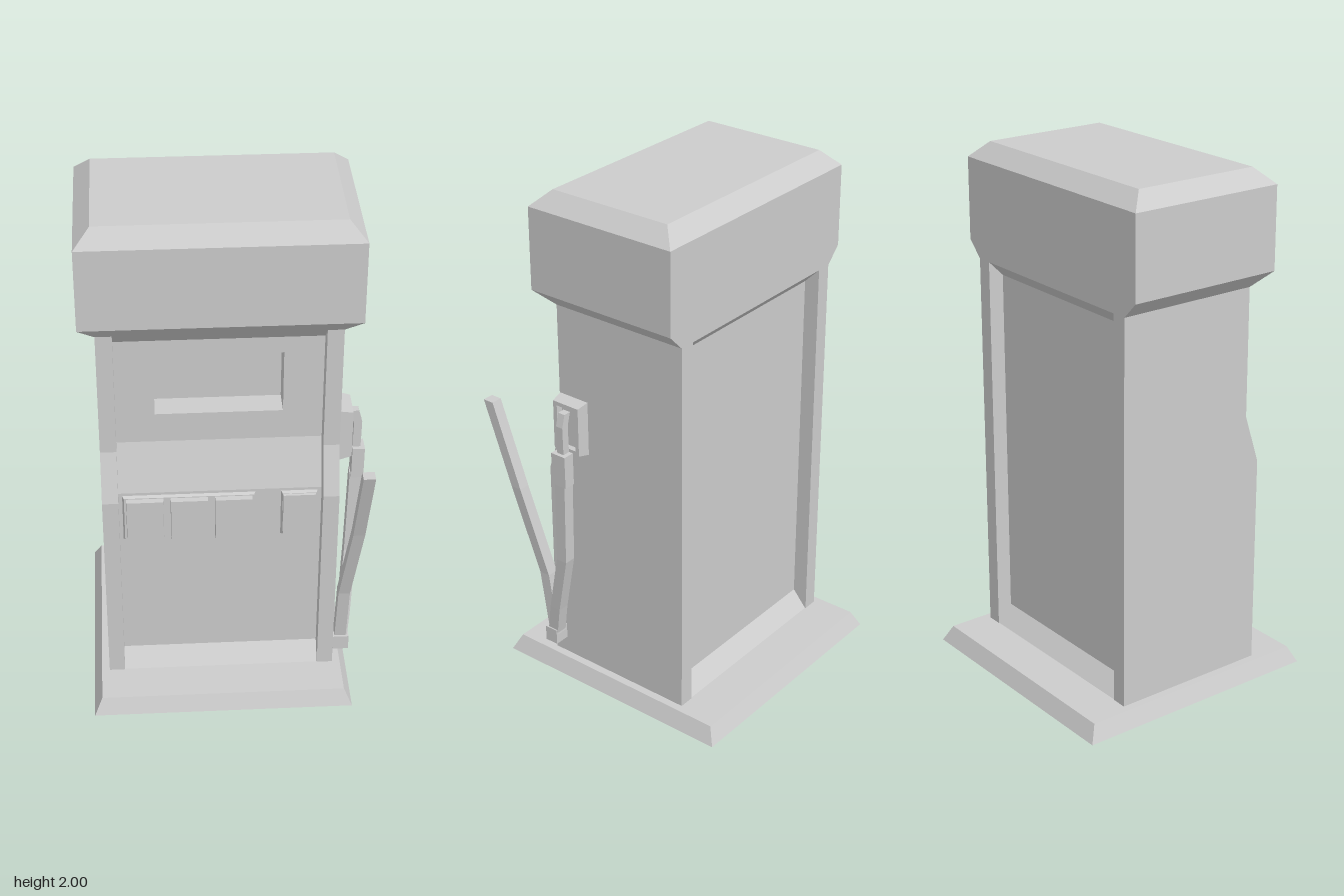
import * as THREE from 'three';

const material = new THREE.MeshStandardMaterial({ color: 0xcccccc, flatShading: true });

// Stack of rectangular sections [y, x0, x1, z0, z1], bottom to top, closed at both ends
function loft(rings) {
  const pos = [], idx = [];
  for (const [y, x0, x1, z0, z1] of rings) pos.push(x0, y, z0, x0, y, z1, x1, y, z1, x1, y, z0);
  for (let r = 0; r < rings.length - 1; r++) {
    for (let i = 0; i < 4; i++) {
      const a = r * 4 + i, b = r * 4 + (i + 1) % 4;
      idx.push(a, b, b + 4, a, b + 4, a + 4);
    }
  }
  const t = (rings.length - 1) * 4;
  idx.push(0, 2, 1, 0, 3, 2, t, t + 1, t + 2, t, t + 2, t + 3);
  const g = new THREE.BufferGeometry();
  g.setAttribute('position', new THREE.Float32BufferAttribute(pos, 3));
  g.setIndex(idx);
  const flat = g.toNonIndexed();
  flat.computeVertexNormals();
  return flat;
}

// Square tube through centre points [x, y, z], with level sections
const tube = (points, w, d = w) =>
  loft(points.map(([x, y, z]) => [y, x - w / 2, x + w / 2, z - d / 2, z + d / 2]));

// Side profile of [z, y] points extruded from x0 to x1
function profile(points, x0, x1) {
  const shape = new THREE.Shape(points.map(([z, y]) => new THREE.Vector2(z, y)));
  const g = new THREE.ExtrudeGeometry(shape, { depth: x1 - x0, bevelEnabled: false });
  return g.rotateY(-Math.PI / 2).translate(x1, 0, 0);
}

function rectPoints(x0, x1, y0, y1) {
  return [[x0, y0], [x1, y0], [x1, y1], [x0, y1]].map(([x, y]) => new THREE.Vector2(x, y));
}

// Rectangular plate with a rectangular opening, extruded along z
function frame(outer, inner, depth) {
  const shape = new THREE.Shape(rectPoints(...outer));
  shape.holes.push(new THREE.Path(rectPoints(...inner)));
  return new THREE.ExtrudeGeometry(shape, { depth, bevelEnabled: false });
}

// Raised block with tapered sides on a front panel
function raised(x0, x1, y0, y1, z0, z1, inset) {
  return loft([
    [z0, x0, x1, -y1, -y0],
    [z1, x0 + inset, x1 - inset, -y1 + inset, -y0 - inset],
  ]).rotateX(Math.PI / 2);
}

export function createModel() {
  const model = new THREE.Group();
  const add = (name, geometry, parent = model) => {
    const mesh = new THREE.Mesh(geometry, material);
    mesh.name = name;
    parent.add(mesh);
    return mesh;
  };

  // Plinth and overhanging head (flush with the body at the back)
  add('plinth', loft([[0, -0.52, 0.475, -0.525, 0.475], [0.063, -0.49, 0.445, -0.493, 0.445]]));
  add('head', loft([
    [1.565, -0.46, 0.415, -0.335, 0.227],
    [1.627, -0.52, 0.476, -0.335, 0.288],
    [1.94, -0.52, 0.476, -0.335, 0.288],
    [2, -0.46, 0.416, -0.275, 0.225],
  ]));

  // Side posts with the stepped front
  const post = [[-0.335, 0.06], [0.288, 0.06], [0.288, 0.88], [0.227, 1.07], [0.227, 1.57], [-0.335, 1.57]];
  add('rightPost', profile(post, -0.46, -0.4));
  add('leftPost', profile(post, 0.355, 0.415));

  // Recessed core, set back further behind the display plate
  add('core', profile([
    [-0.335, 0.06], [0.288, 0.06], [0.227, 0.13], [0.227, 0.88], [0.167, 1.07], [0.067, 1.07],
    [0.067, 1.505], [0.167, 1.505], [0.227, 1.565], [-0.335, 1.565], [-0.275, 1.505], [-0.275, 0.13],
  ], -0.4, 0.355));
  add('displayPlate', frame([-0.4, 0.355, 1.07, 1.505], [-0.257, 0.21, 1.19, 1.44], 0.1).translate(0, 0, 0.067));

  // Selector tray with three buttons, and a single slot beside it
  const selectors = new THREE.Group();
  selectors.name = 'selectors';
  model.add(selectors);
  add('selectorTray', raised(-0.387, 0.11, 0.668, 0.87, 0.225, 0.238, 0.007), selectors);
  for (let i = 0; i < 3; i++) {
    const x = -0.373 + i * 0.165;
    add('selectorButton', raised(x, x + 0.14, 0.68, 0.86, 0.23, 0.26, 0.002), selectors);
  }
  add('cardTray', raised(0.203, 0.342, 0.668, 0.87, 0.225, 0.238, 0.007), selectors);
  add('cardSlot', raised(0.21, 0.335, 0.677, 0.862, 0.23, 0.248, 0.002), selectors);

  // Nozzle holster on the left side: back plate and sloping rim
  const holster = new THREE.Group();
  holster.name = 'holster';
  model.add(holster);
  const rim = frame([-0.225, -0.095, 1.0, 1.215], [-0.206, -0.112, 1.018, 1.198], 0.047);
  const p = rim.attributes.position;
  for (let i = 0; i < p.count; i++) {
    if (p.getZ(i) > 0.04) p.setXY(i, -0.16 + (p.getX(i) + 0.16) * 0.9, 1.107 + (p.getY(i) - 1.107) * 0.9);
  }
  rim.computeVertexNormals();
  add('holsterRim', rim.rotateY(Math.PI / 2).translate(0.415, 0, 0), holster);
  add('holsterBack', new THREE.BoxGeometry(0.02, 0.2, 0.12).translate(0.422, 1.107, 0.16), holster);

  // Nozzle with its collar and hose
  add('nozzle', tube([[0.485, 1.0, 0.157], [0.487, 1.13, 0.157], [0.473, 1.18, 0.157]], 0.03));
  add('nozzleCollar', tube([[0.491, 0.89, 0.157], [0.492, 1.02, 0.157]], 0.046, 0.064));
  add('nozzleHose', tube([
    [0.445, 0.16, 0.26], [0.458, 0.3, 0.232], [0.477, 0.55, 0.172], [0.487, 0.9, 0.157],
  ], 0.046));

  // Loose second hose and the bracket both hoses start from
  add('looseHose', tube([
    [0.443, 0.17, 0.255], [0.447, 0.43, 0.29], [0.477, 0.79, 0.39], [0.487, 1.127, 0.5],
  ], 0.044));
  add('hoseBracket', new THREE.BoxGeometry(0.062, 0.062, 0.055).translate(0.445, 0.16, 0.261));

  return model;
}
